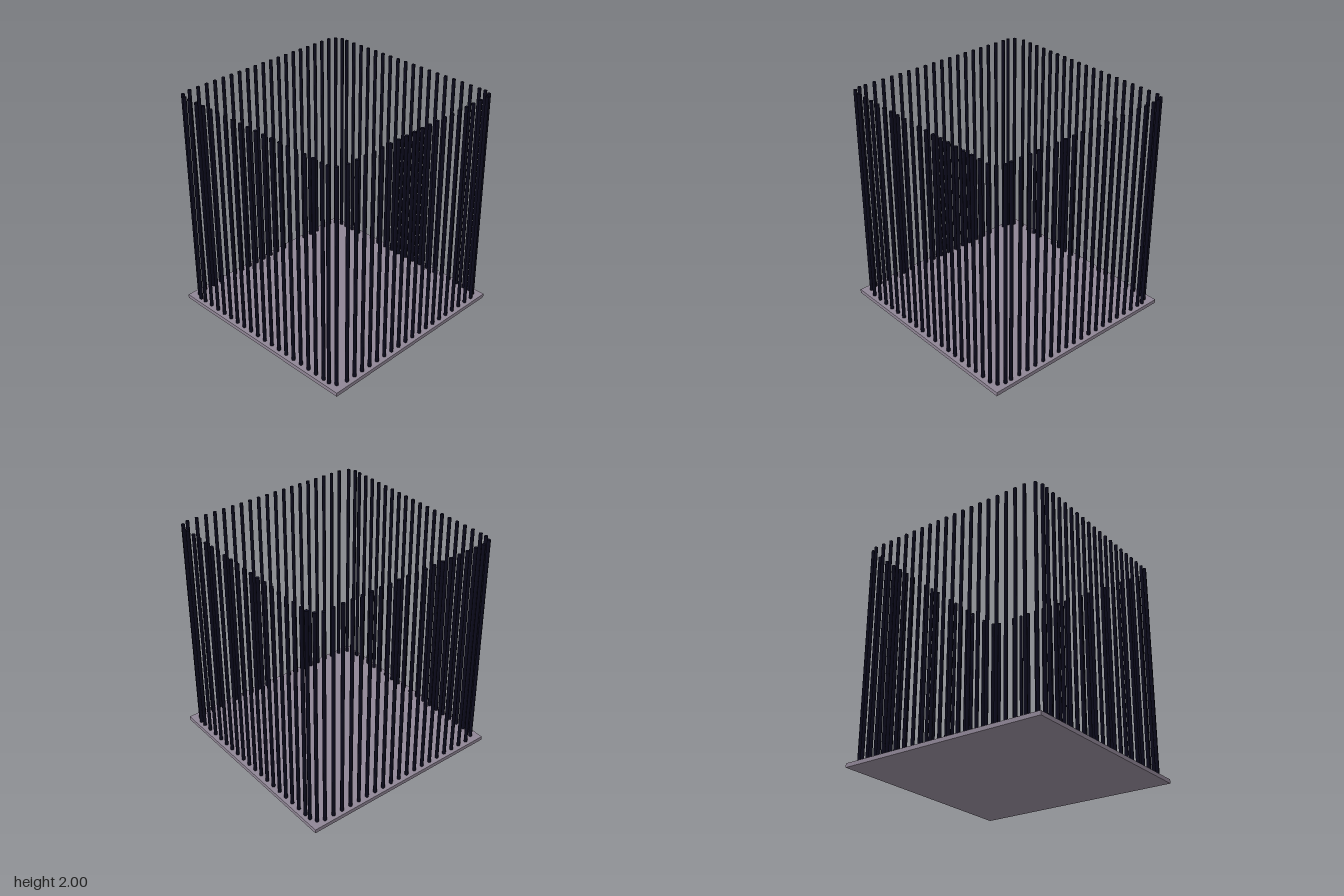
import * as THREE from 'three';

export function createModel() {
  const model = new THREE.Group();
  const stone = new THREE.MeshStandardMaterial({ name: 'mauve stone', color: 0x8f8595 });
  const iron = new THREE.MeshStandardMaterial({ name: 'dark iron', color: 0x0b0a1c });

  // Floor slab
  const slabHeight = 0.035;
  const slab = new THREE.Mesh(new THREE.BoxGeometry(1.875, slabHeight, 1.875), stone);
  slab.name = 'floorSlab';
  slab.position.y = slabHeight / 2;
  model.add(slab);

  // Upright bars share one slim round geometry
  const barHeight = 2 - slabHeight;
  const barGeometry = new THREE.CylinderGeometry(0.0155, 0.0155, barHeight, 8);
  function addBar(group, x, z) {
    const bar = new THREE.Mesh(barGeometry, iron);
    bar.name = 'bar';
    bar.position.set(x, slabHeight + barHeight / 2, z);
    group.add(bar);
  }
  function addGroup(name) {
    const group = new THREE.Group();
    group.name = name;
    model.add(group);
    return group;
  }

  const edge = 0.893;
  const corner = 0.865;

  // Front and back rows: 18 even bars plus a closer one at each end
  for (const [name, z] of [['frontBars', edge], ['backBars', -edge]]) {
    const row = addGroup(name);
    for (let i = 0; i < 18; i++) addBar(row, -0.749 + i * 0.088, z);
    addBar(row, -0.808, z);
    addBar(row, 0.806, z);
  }

  // Left and right rows: 19 even bars
  for (const [name, x] of [['leftBars', edge], ['rightBars', -edge]]) {
    const row = addGroup(name);
    for (let i = 0; i < 19; i++) addBar(row, x, -0.806 + i * 0.088);
  }

  // Corner bars, set slightly inwards
  const corners = addGroup('cornerBars');
  for (const x of [-corner, corner]) {
    for (const z of [-corner, corner]) addBar(corners, x, z);
  }

  return model;
}
